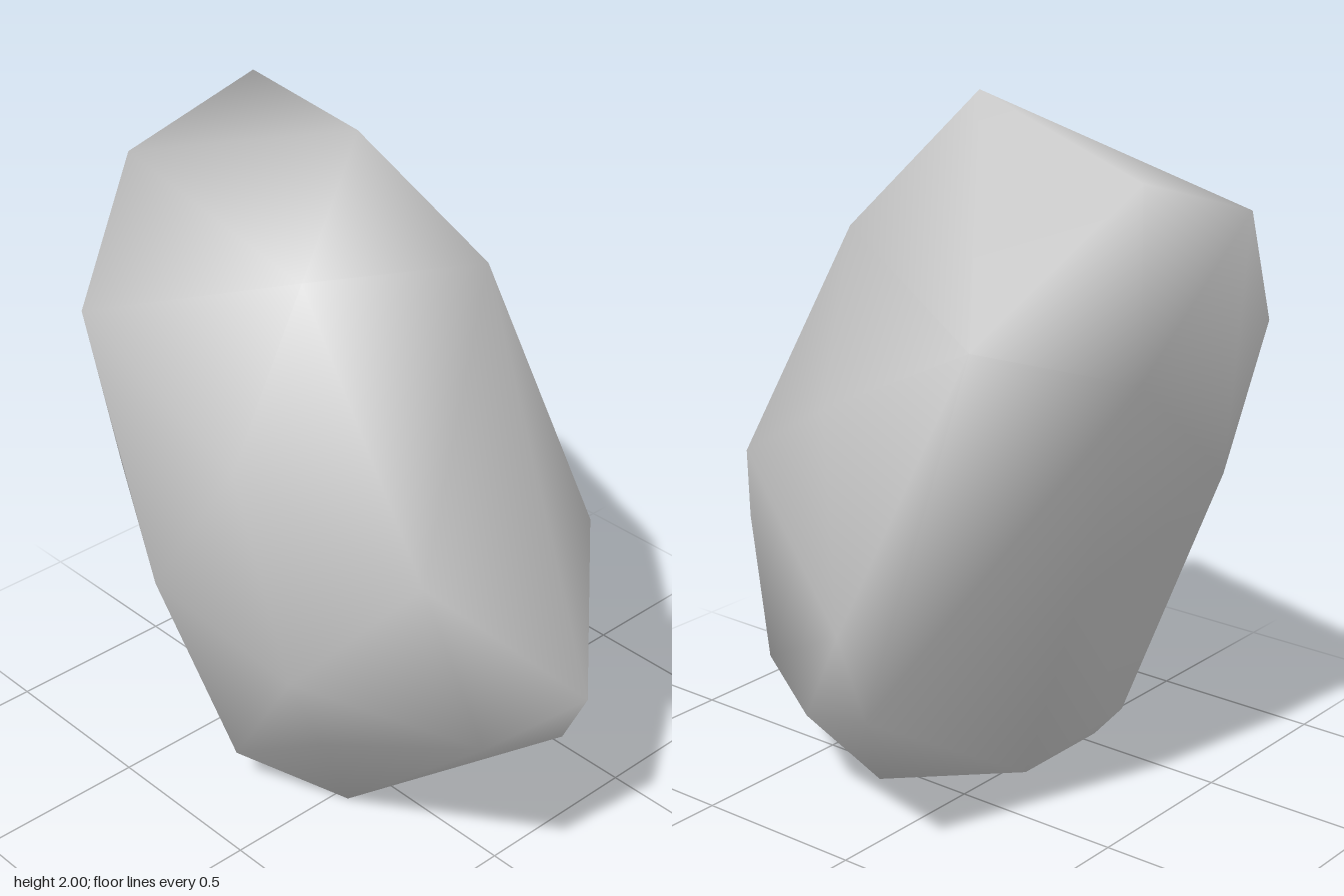
import * as THREE from 'three';
import { ConvexGeometry } from 'three/addons/geometries/ConvexGeometry.js';
import { mergeVertices } from 'three/addons/utils/BufferGeometryUtils.js';

// Corner points of the boulder, from the crown down to the foot
const corners = [
  // crown
  [-0.05, 2.0, 0.0], [-0.73, 1.89, -0.24], [0.21, 1.82, 0.42],
  [-0.77, 1.76, 0.17], [0.2, 1.65, -0.22],
  // shoulders
  [-0.48, 1.51, -0.57], [-0.67, 1.41, 0.43], [0.22, 1.4, 0.66],
  [-0.64, 1.35, -0.1], [0.05, 1.25, -0.5], [0.61, 1.14, 0.4],
  // waist
  [0.52, 0.99, -0.3], [-0.56, 0.97, 0.41], [-0.12, 0.91, 0.65], [0.4, 0.87, 0.65],
  [-0.45, 0.74, -0.08], [-0.13, 0.73, -0.66], [0.74, 0.68, 0.31], [0.77, 0.67, -0.04],
  // foot
  [0.27, 0.49, 0.43], [-0.16, 0.48, -0.59], [0.55, 0.34, -0.2], [0.3, 0.27, -0.32],
  [-0.31, 0.24, 0.32], [-0.21, 0.13, 0.33], [-0.21, 0.13, 0.01],
  [0.14, 0.08, -0.2], [0.04, 0.0, 0.13],
];

export function createModel() {
  const model = new THREE.Group();
  model.name = 'rock';

  const stone = new THREE.MeshStandardMaterial({ color: 0xcacaca });
  stone.name = 'grey stone';

  // Hull around the corners, with shared vertices for smooth shading
  const hull = new ConvexGeometry(corners.map((c) => new THREE.Vector3(...c)));
  hull.deleteAttribute('normal');
  const geometry = mergeVertices(hull, 1e-4);
  geometry.computeVertexNormals();

  const boulder = new THREE.Mesh(geometry, stone);
  boulder.name = 'boulder';
  model.add(boulder);
  return model;
}
